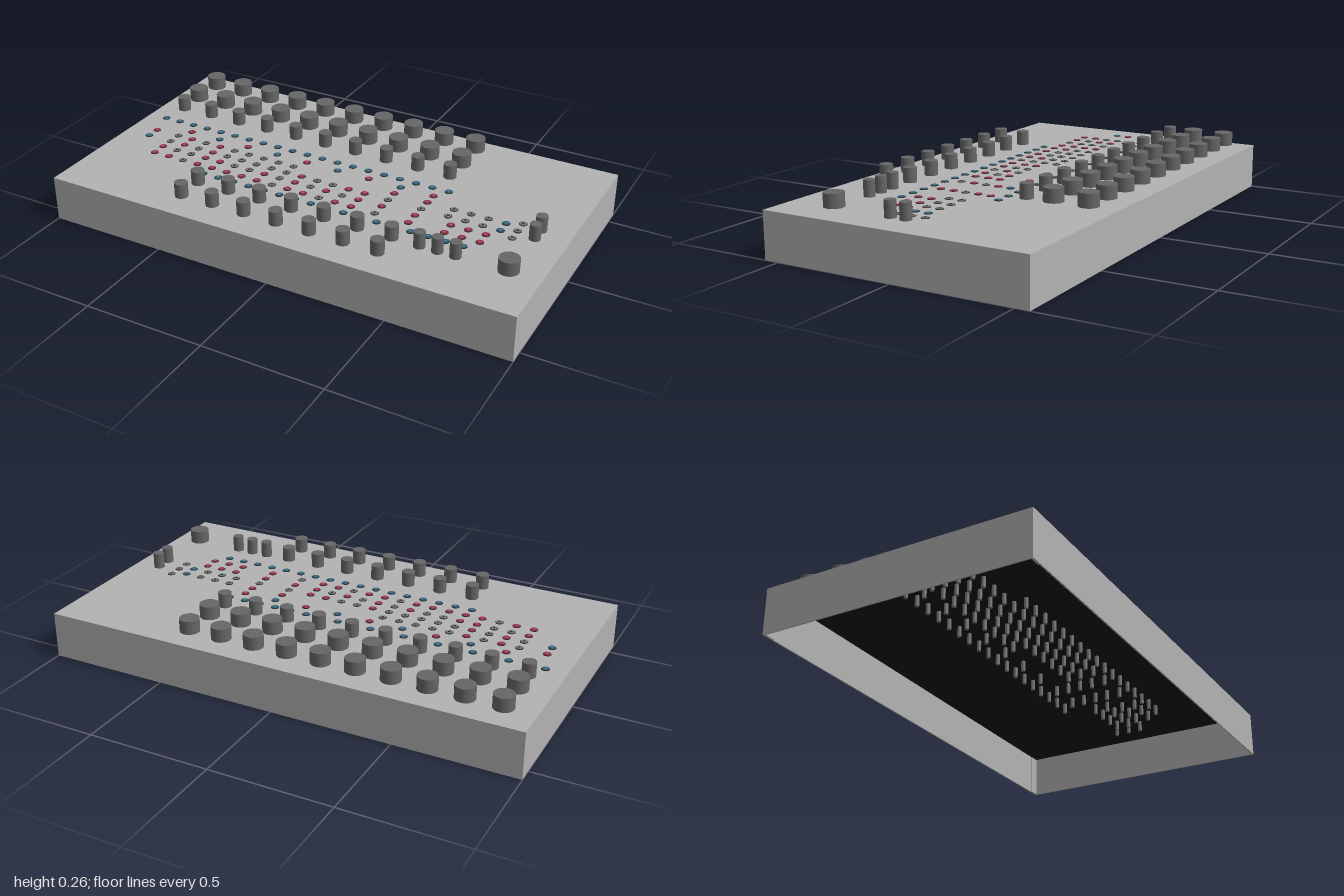
import * as THREE from 'three';

const paint = (name, color) => Object.assign(new THREE.MeshStandardMaterial({ color }), { name });

export function createModel() {
  const model = new THREE.Group();
  model.name = 'controlPanel';

  const metal = paint('panelGrey', 0xb2b2b2);
  const knobGrey = paint('knobGrey', 0x666666);
  const boardBlack = paint('boardBlack', 0x141414);
  const red = paint('socketRed', 0xa02848);
  const blue = paint('socketBlue', 0x28607c);
  const grey = paint('socketGrey', 0x747474);
  const dark = paint('holeDark', 0x2c2c2c);

  const add = (name, geometry, material, x, y, z, parent = model) => {
    const mesh = new THREE.Mesh(geometry, material);
    mesh.name = name;
    mesh.position.set(x, y, z);
    parent.add(mesh);
    return mesh;
  };
  const box = (name, w, h, d, mat, x, y, z) => add(name, new THREE.BoxGeometry(w, h, d), mat, x, y, z);

  // Open-bottomed sheet metal case
  const H = 0.19, D = 0.56, T = 0.006;
  box('topPlate', 2, T, 2 * D, metal, 0, H - T / 2, 0);
  box('circuitBoard', 2 - 2 * T, 0.004, 2 * D - 2 * T, boardBlack, 0, H - T - 0.002, 0);
  for (const s of [-1, 1]) {
    box(s > 0 ? 'frontWall' : 'backWall', 2, H - T, T, metal, 0, (H - T) / 2, s * (D - T / 2));
    box(s > 0 ? 'leftWall' : 'rightWall', T, H - T, 2 * D - 2 * T, metal, s * (1 - T / 2), (H - T) / 2, 0);
    // Folded flanges inside each corner
    for (const t of [-1, 1])
      box('cornerFlange', 0.045, H - 0.012, 0.004, metal, s * 0.97, (H - 0.012) / 2, t * (D - T - 0.002));
  }

  // Knobs hover just above the plate
  const knobs = new THREE.Group();
  knobs.name = 'knobs';
  model.add(knobs);
  const knobShapes = {
    large: new THREE.CylinderGeometry(0.04, 0.04, 0.055, 24),
    medium: new THREE.CylinderGeometry(0.027, 0.027, 0.06, 20),
    small: new THREE.CylinderGeometry(0.0225, 0.0225, 0.066, 20),
  };
  const knobY = { large: 0.2325, medium: 0.232, small: 0.232 };
  const knob = (kind, x, z) => add(kind + 'Knob', knobShapes[kind], knobGrey, x, knobY[kind], z, knobs);
  const column = (i) => -0.882 + 0.1438 * i;
  for (let i = 0; i < 10; i++) {
    knob('large', column(i), -0.46);
    knob('large', column(i), -0.315);
    knob('medium', column(i), -0.2);
    if (i >= 3) {
      knob('medium', column(i), 0.33);
      knob('medium', column(i), 0.445);
    }
  }
  for (const x of [0.526, 0.599, 0.671]) knob('small', x, 0.33);
  knob('small', 0.88, 0.01);
  knob('small', 0.88, 0.077);
  knob('large', 0.877, 0.33);

  // Patch sockets: coloured collar, dark rim, centre cap and a pin below the board
  const sockets = new THREE.Group();
  sockets.name = 'sockets';
  model.add(sockets);
  const collar = new THREE.CylinderGeometry(0.014, 0.014, 0.006, 10);
  const rim = new THREE.CylinderGeometry(0.0165, 0.0165, 0.003, 12);
  const cap = new THREE.CylinderGeometry(0.005, 0.005, 0.002, 8);
  const pin = new THREE.CylinderGeometry(0.0085, 0.0085, 0.045, 10);
  const colours = { r: red, b: blue, g: grey };
  const socket = (c, x, z) => {
    add('socketRim', rim, dark, x, H + 0.0005, z, sockets);
    add('socketCollar', collar, colours[c], x, H + 0.001, z, sockets);
    add('socketCap', cap, c === 'g' ? dark : grey, x, H + 0.004, z, sockets);
    add('socketPin', pin, grey, x, H - 0.031, z, sockets);
  };

  // Rows of sockets: start x, spacing, z and one colour letter per socket
  const S = 0.0719;
  const rows = [
    [-0.914, S, -0.102, 'b'.repeat(20)],
    [-0.738, 2 * S, -0.043, 'rbrbrbrbr'],
    [-0.882, S, 0.013, 'r'],
    [-0.77, S, 0.013, 'grgrggggg'],
    [0.268, 2 * S, 0.013, 'rr'],
    [0.526, S, 0.013, 'gggb'],
    [-0.882, S, 0.07, 'b'],
    [-0.77, S, 0.07, 'grgrgggggrggrr'],
    [0.268, 2 * S, 0.07, 'gg'],
    [0.526, S, 0.07, 'gggb'],
    [-0.77, S, 0.125, 'rggrrggrgrgrgr'],
    [0.268, 2 * S, 0.125, 'rr'],
    [0.562, S, 0.125, 'rrr'],
    [-0.77, S, 0.185, 'rrgrrrrrgrrgrr'],
    [0.268, 2 * S, 0.185, 'gr'],
    [0.562, S, 0.185, 'rrr'],
    [-0.487, S, 0.24, 'b'.repeat(17)],
  ];
  for (const [x, step, z, letters] of rows)
    [...letters].forEach((c, i) => socket(c, x + step * i, z));
  for (const z of [-0.015, 0.043, 0.1]) socket('g', 0.8, z);

  return model;
}
